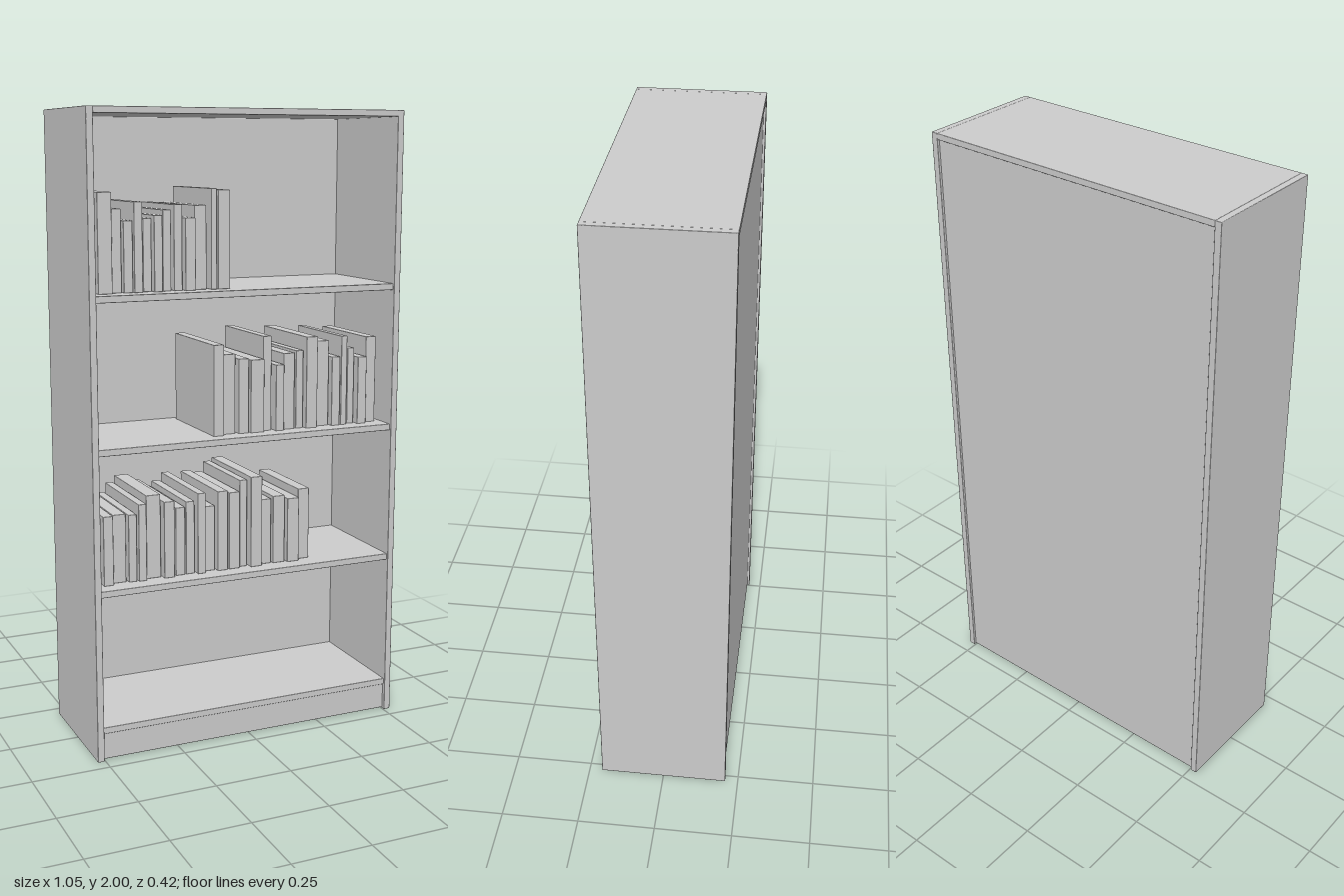
import * as THREE from 'three';
import { RoundedBoxGeometry } from 'three/addons/geometries/RoundedBoxGeometry.js';

const material = new THREE.MeshStandardMaterial({ color: 0xcccccc });

// Box given by its lower and upper limits, with slightly eased edges
function board(parent, name, [x0, x1], [y0, y1], [z0, z1], ease = 0.002) {
  const geometry = new RoundedBoxGeometry(x1 - x0, y1 - y0, z1 - z0, 1, ease);
  const mesh = new THREE.Mesh(geometry, material);
  mesh.position.set((x0 + x1) / 2, (y0 + y1) / 2, (z0 + z1) / 2);
  mesh.name = name;
  parent.add(mesh);
}

// Books of one row: left edge, thickness and height of each
const bookRows = [
  { name: 'upperBooks', base: 1.456, books: [
    [-.478, .045, .3], [-.428, .03, .25], [-.394, .029, .215], [-.362, .027, .27],
    [-.328, .027, .22], [-.299, .027, .23], [-.267, .027, .245], [-.23, .027, .26],
    [-.198, .034, .22], [-.161, .04, .257], [-.111, .019, .307], [-.087, .04, .302]] },
  { name: 'middleBooks', base: .994, books: [
    [-.106, .035, .29], [-.066, .042, .256], [-.016, .035, .24], [.024, .047, .235],
    [.074, .029, .306], [.111, .029, .214], [.143, .039, .248], [.188, .026, .254],
    [.219, .04, .298], [.264, .045, .28], [.314, .03, .227], [.349, .021, .293],
    [.378, .024, .251], [.407, .032, .222], [.444, .037, .285]] },
  { name: 'lowerBooks', base: .552, books: [
    [-.476, .032, .222], [-.439, .042, .22], [-.391, .027, .217], [-.359, .026, .248],
    [-.328, .048, .27], [-.275, .035, .248], [-.232, .032, .222], [-.196, .029, .238],
    [-.161, .027, .264], [-.129, .034, .214], [-.09, .034, .262], [-.05, .037, .254],
    [-.008, .026, .288], [.024, .04, .299], [.066, .037, .217], [.108, .042, .225],
    [.156, .042, .214], [.203, .04, .238]] },
];

export function createModel() {
  const model = new THREE.Group();
  model.name = 'bookcase';

  // Carcass
  for (const [name, x0] of [['leftSide', .503], ['rightSide', -.525]])
    board(model, name, [x0, x0 + .022], [0, 2], [-.208, .208]);
  board(model, 'top', [-.504, .504], [1.98, 2], [-.208, .208]);
  board(model, 'backPanel', [-.504, .504], [.015, 1.981], [-.2, -.188]);
  board(model, 'plinth', [-.504, .504], [.003, .088], [-.2, .195]);

  // Shelves
  for (const y of [.088, .531, .974, 1.435])
    board(model, 'shelf', [-.504, .504], [y, y + .021], [-.19, .2]);

  // Books, with spines a little uneven
  for (const { name, base, books } of bookRows) {
    const row = new THREE.Group();
    row.name = name;
    books.forEach(([x, w, h], i) => {
      const front = .143 + .01 * Math.sin(i * 2.4 + 1.6);
      board(row, 'book', [x, x + w], [base, base + h], [-.168, front]);
    });
    model.add(row);
  }
  return model;
}
